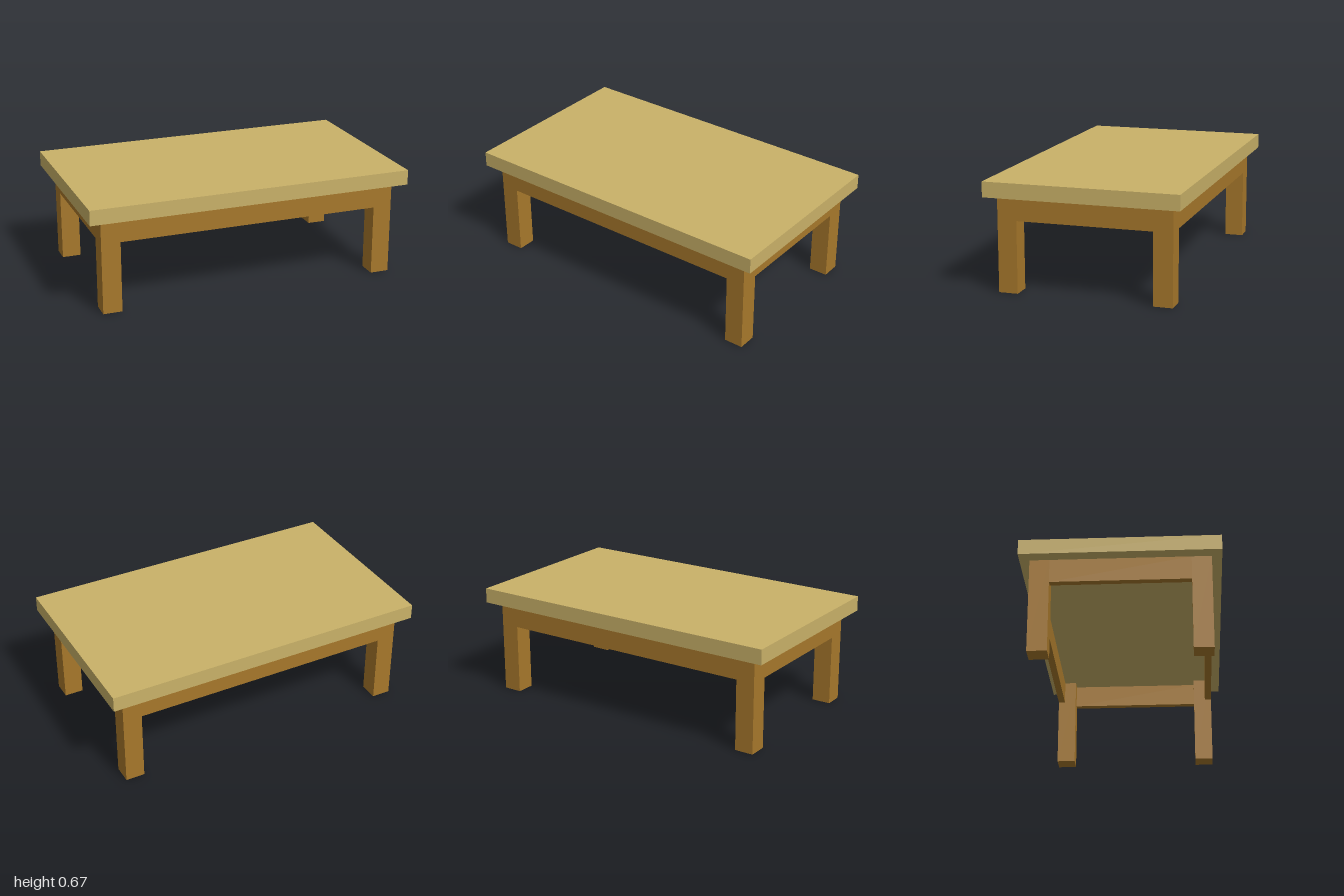
import * as THREE from 'three';

export function createModel() {
  const table = new THREE.Group();
  table.name = 'lowTable';

  const paleWood = new THREE.MeshStandardMaterial({ color: 0xc9b168 });
  paleWood.name = 'paleWood';
  const brownWood = new THREE.MeshStandardMaterial({ color: 0xa7782b });
  brownWood.name = 'brownWood';

  // Box resting on a given base height
  const addBox = (name, material, [w, h, d], [x, base, z]) => {
    const mesh = new THREE.Mesh(new THREE.BoxGeometry(w, h, d), material);
    mesh.name = name;
    mesh.position.set(x, base + h / 2, z);
    table.add(mesh);
  };

  const halfX = 0.923, halfZ = 0.524; // outer faces of the frame
  const leg = 0.116;
  const underside = 0.577;
  const railBase = 0.433, railThick = 0.042;
  const railHeight = underside - railBase;

  addBox('tableTop', paleWood, [2, 0.092, 1.166], [0, underside, 0]);

  for (const s of [-1, 1]) {
    // Legs
    for (const t of [-1, 1]) {
      const name = (t > 0 ? 'front' : 'back') + (s > 0 ? 'Left' : 'Right') + 'Leg';
      addBox(name, brownWood, [leg, underside, leg],
        [s * (halfX - leg / 2), 0, t * (halfZ - leg / 2)]);
    }
    // Rails between the legs, flush with their outer faces
    addBox(s > 0 ? 'frontRail' : 'backRail', brownWood,
      [2 * (halfX - leg), railHeight, railThick],
      [0, railBase, s * (halfZ - railThick / 2)]);
    addBox(s > 0 ? 'leftRail' : 'rightRail', brownWood,
      [railThick, railHeight, 2 * (halfZ - leg)],
      [s * (halfX - railThick / 2), railBase, 0]);
  }

  return table;
}
